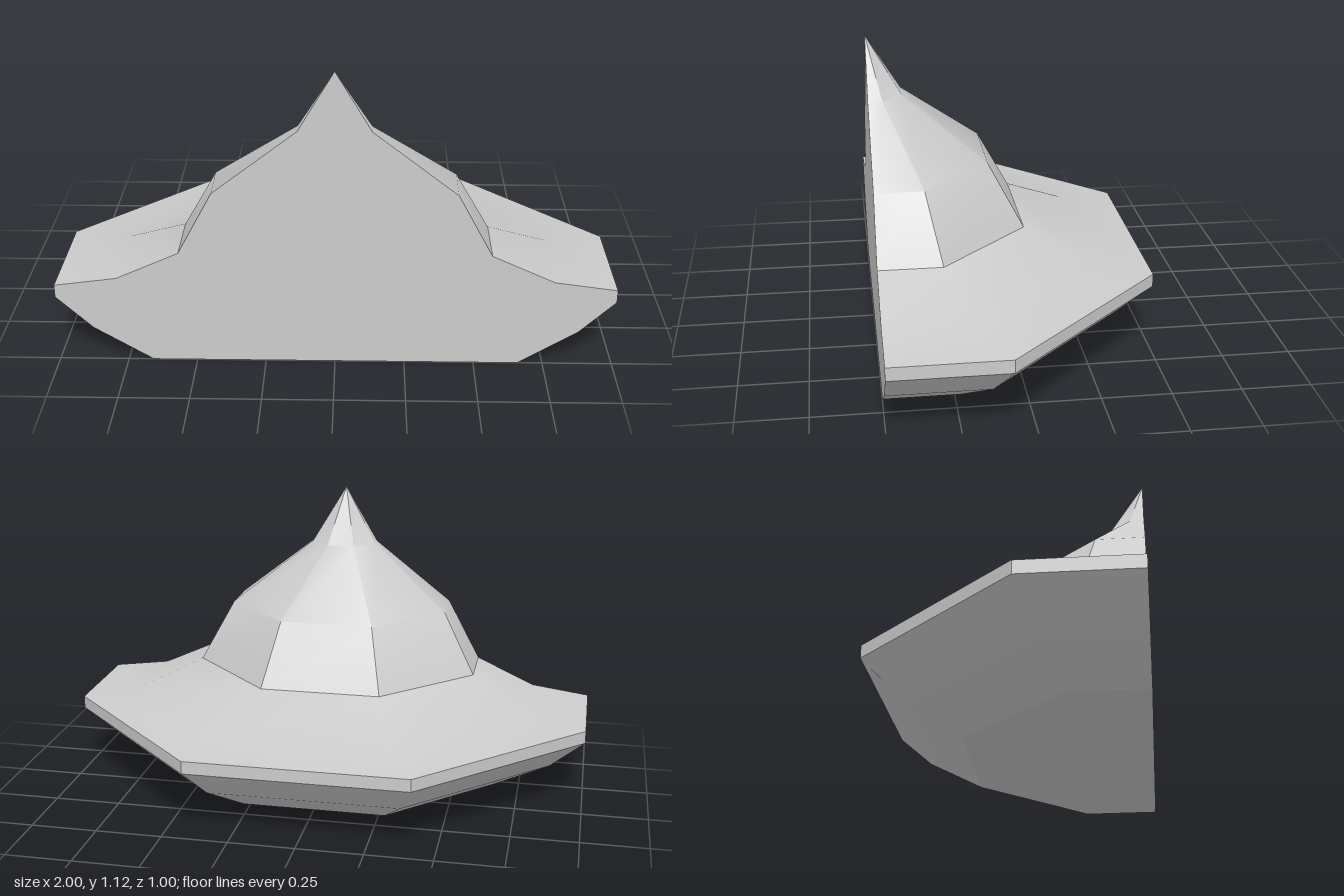
import * as THREE from 'three';
import { toCreasedNormals } from 'three/addons/utils/BufferGeometryUtils.js';

const FRONT = 0.5;
const K = Math.tan(Math.PI / 8);

// Profiles as [octagon inner radius, height]
const hull = [[0.66, 0], [0.87, 0.13], [1, 0.255]];
const rim = [[1, 0.255], [1, 0.303]];
const brim = [[1, 0.303], [0.777, 0.333], [0.552, 0.436]];
const dome = [[0.552, 0.436], [0.427, 0.67], [0.127, 0.905], [0, 1.122]];

// Half octagon running from +x around the back to -x
function halfRing(r) {
  return [[r, 0], [r, -K * r], [K * r, -r], [-K * r, -r], [-r, -K * r], [-r, 0]];
}

// Loft half-octagon rings along a profile
function loft(profile) {
  const pos = [];
  const rings = profile.map(([r, y]) => halfRing(r).map(([x, z]) => [x, y, z + FRONT]));
  for (let j = 0; j < rings.length - 1; j++) {
    for (let i = 0; i < 5; i++) {
      const a = rings[j][i], b = rings[j][i + 1];
      const c = rings[j + 1][i + 1], d = rings[j + 1][i];
      pos.push(...a, ...b, ...c);
      if (profile[j + 1][0] > 0) pos.push(...a, ...c, ...d);
    }
  }
  const geo = new THREE.BufferGeometry();
  geo.setAttribute('position', new THREE.Float32BufferAttribute(pos, 3));
  return toCreasedNormals(geo, THREE.MathUtils.degToRad(31));
}

function flatShape(points) {
  return new THREE.ShapeGeometry(new THREE.Shape(points.map(([x, y]) => new THREE.Vector2(x, y))));
}

export function createModel() {
  const group = new THREE.Group();
  const material = new THREE.MeshStandardMaterial({ color: 0xcccccc });
  const add = (name, geo) => {
    const mesh = new THREE.Mesh(geo, material);
    mesh.name = name;
    group.add(mesh);
  };

  // Faceted body, from the underside up to the peak
  add('hull', loft(hull));
  add('rim', loft(rim));
  add('brim', loft(brim));
  add('dome', loft(dome));

  // Flat cut front, following the mirrored profile
  const side = [...hull, rim[1], ...brim.slice(1), ...dome.slice(1)];
  const mirrored = side.slice(0, -1).reverse().map(([x, y]) => [-x, y]);
  const front = flatShape([...side, ...mirrored]);
  front.translate(0, 0, FRONT);
  add('frontFace', front);

  // Flat underside
  const base = flatShape(halfRing(hull[0][0]));
  base.rotateX(Math.PI / 2);
  base.translate(0, 0, FRONT);
  add('base', base);

  return group;
}
